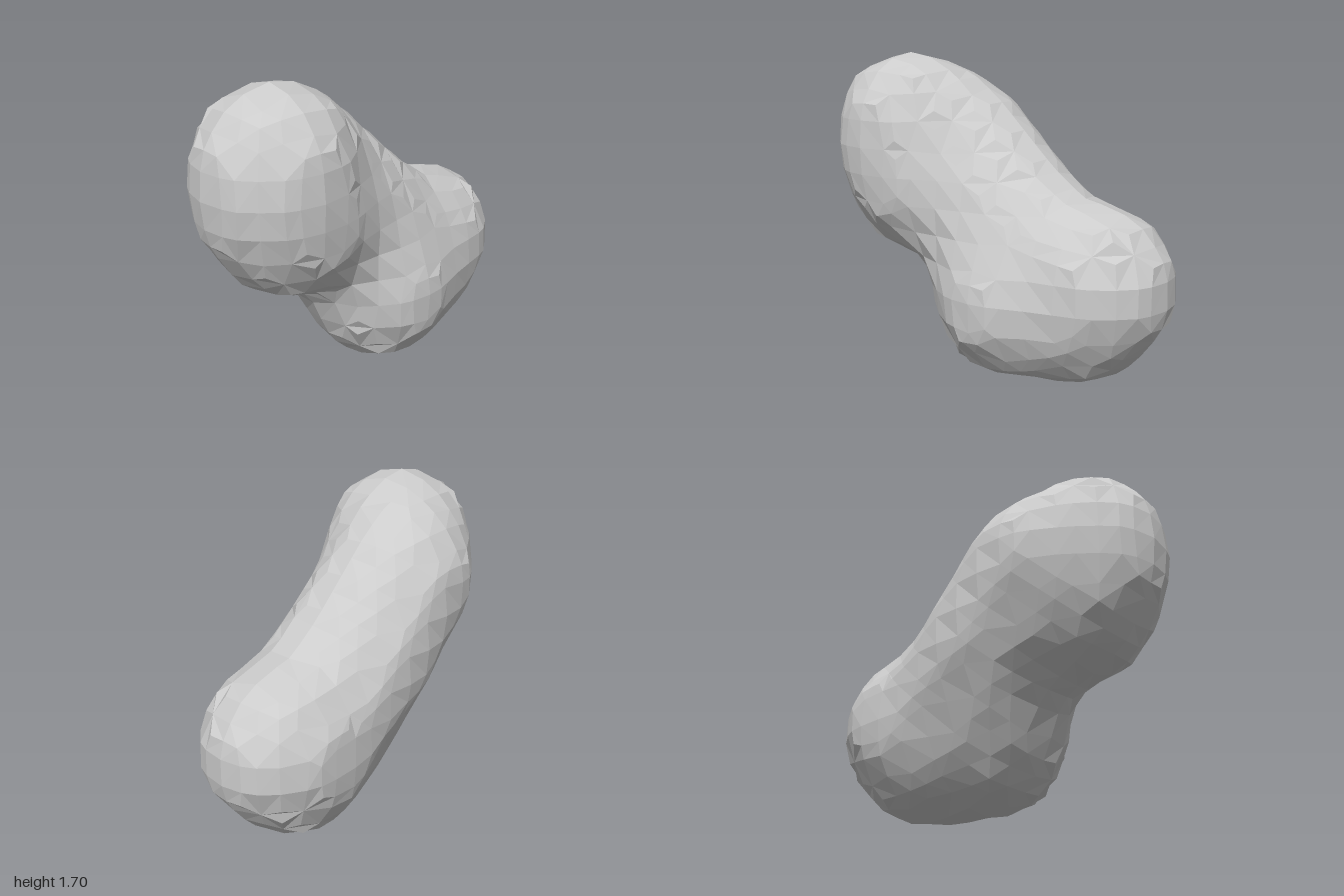
import * as THREE from 'three';

const STEP = 0.146, RADIUS = 0.433;
const NARROW = 1.07; // bones are slightly thinner sideways
const v = (x, y, z) => new THREE.Vector3(x, y, z);
const joint = (x, y, z) => v(x * NARROW, y, z);

// Joints of the inner skeleton
const J = {
  crown: joint(0.08, 1.285, 0.575), face: joint(0.08, 1.15, 0.575), chin: joint(0.07, 1.02, 0.5),
  nape: joint(-0.075, 1.17, 0.38), chest: joint(-0.075, 0.86, 0.07), waist: joint(-0.055, 0.78, -0.04),
  hip: joint(-0.05, 0.57, -0.33), rump: joint(-0.063, 0.545, -0.574),
  foot: joint(0.07, 0.428, -0.13), heel: joint(-0.06, 0.428, -0.47),
};
const BONES = [
  ['crown', 'face'], ['face', 'chin'], ['crown', 'nape'], ['chin', 'nape'], ['nape', 'waist'],
  ['chin', 'chest'], ['chest', 'waist'], ['chest', 'foot'], ['waist', 'foot'],
  ['waist', 'hip'], ['hip', 'rump'], ['foot', 'heel'], ['heel', 'rump'],
].map(([a, b]) => new THREE.Line3(J[a], J[b]));

// Signed distance to the union of thick rounded bones
const near = v(0, 0, 0);
function distance(point) {
  const p = joint(point.x, point.y, point.z);
  return Math.min(...BONES.map((bone) => bone.closestPointToPoint(p, true, near).distanceTo(p))) - RADIUS;
}

// Coarse skin: one vertex per crossed grid cell, one quad per crossed grid edge
function skinGeometry() {
  const origin = v(-5 * STEP, 0.117 - 3 * STEP, -8.5 * STEP);
  const size = [11, 17, 18];
  const node = (c) => v(...c).multiplyScalar(STEP).add(origin);
  const cache = new Map();
  const value = (c) => {
    const key = c.join();
    if (!cache.has(key)) cache.set(key, distance(node(c)));
    return cache.get(key);
  };
  const shift = (c, axis, by) => c.map((k, i) => (i === axis ? k + by : k));

  // The vertex of a cell is the mean of the crossings on its twelve edges
  const positions = [], index = [], cells = new Map();
  const cellVertex = (c) => {
    const key = c.join();
    if (cells.has(key)) return cells.get(key);
    const sum = v(0, 0, 0);
    let count = 0;
    for (let axis = 0; axis < 3; axis++) {
      for (let k = 0; k < 4; k++) {
        const a = shift(shift(c, (axis + 1) % 3, k & 1), (axis + 2) % 3, k >> 1);
        const b = shift(a, axis, 1);
        const da = value(a), db = value(b);
        if (da < 0 === db < 0) continue;
        sum.add(node(a).lerp(node(b), da / (da - db)));
        count++;
      }
    }
    sum.divideScalar(count);
    positions.push(sum.x, sum.y, sum.z);
    cells.set(key, cells.size);
    return cells.size - 1;
  };

  for (let x = 1; x < size[0]; x++) for (let y = 1; y < size[1]; y++) for (let z = 1; z < size[2]; z++) {
    const c = [x, y, z];
    for (let axis = 0; axis < 3; axis++) {
      const inside = value(c) < 0;
      if (inside === value(shift(c, axis, 1)) < 0) continue;
      const b = (axis + 1) % 3, d = (axis + 2) % 3;
      const q = [c, shift(c, b, -1), shift(shift(c, b, -1), d, -1), shift(c, d, -1)].map(cellVertex);
      if (!inside) q.reverse();
      index.push(q[0], q[1], q[2], q[0], q[2], q[3]);
    }
  }

  const geometry = new THREE.BufferGeometry();
  geometry.setAttribute('position', new THREE.Float32BufferAttribute(positions, 3));
  geometry.setIndex(index);
  geometry.computeVertexNormals();
  return geometry;
}

export function createModel() {
  const group = new THREE.Group();
  group.name = 'bentBlob';
  const body = new THREE.Mesh(
    skinGeometry(),
    new THREE.MeshStandardMaterial({ color: 0xcccccc, flatShading: true }),
  );
  body.name = 'body';
  group.add(body);
  return group;
}
